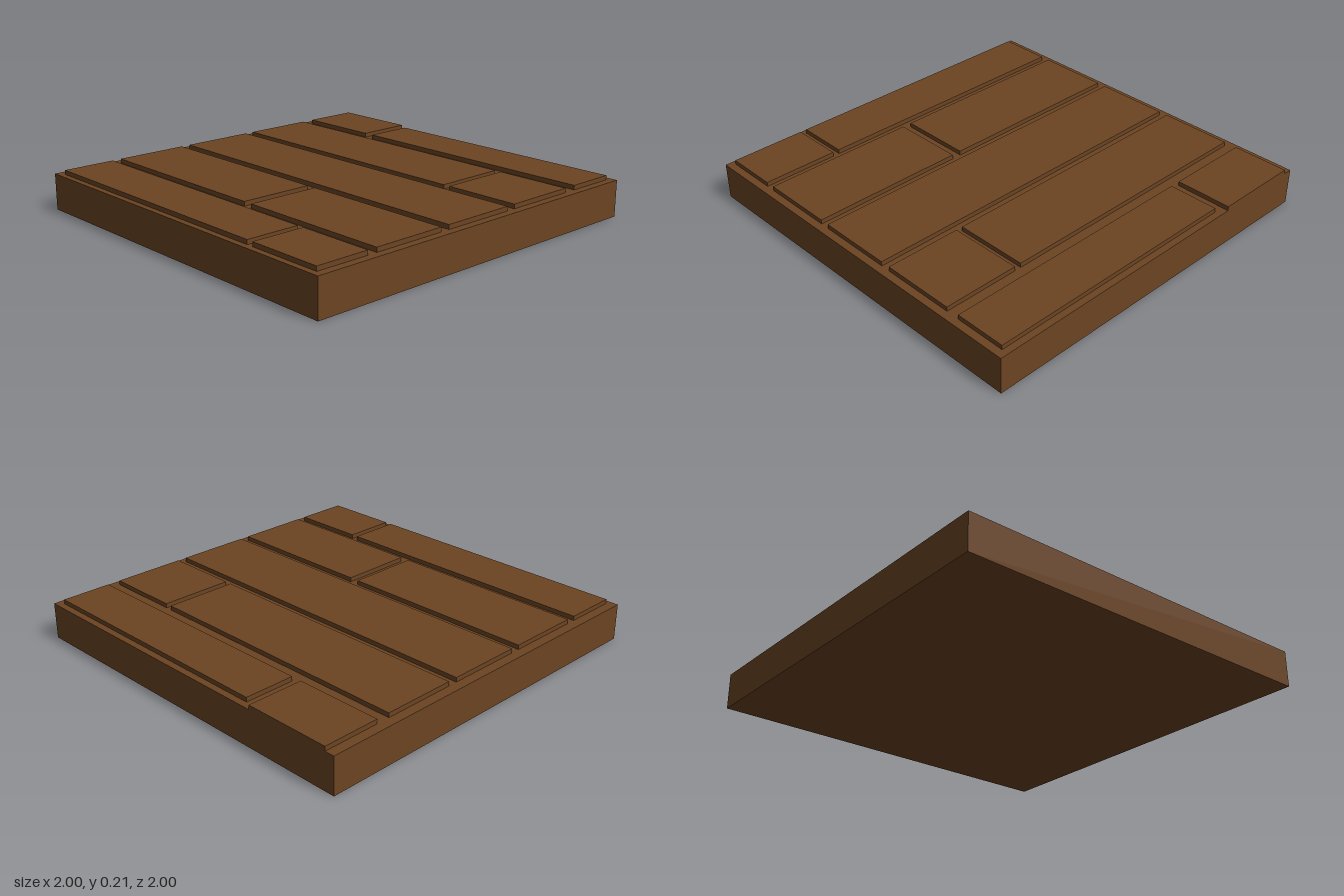
import * as THREE from 'three';

const SLAB_TOP = 0.19;
const PLANK_TOP = 0.213;

// Box given by its x, y and z limits
function block(name, [x0, x1], [y0, y1], [z0, z1], material) {
  const mesh = new THREE.Mesh(new THREE.BoxGeometry(x1 - x0, y1 - y0, z1 - z0), material);
  mesh.position.set((x0 + x1) / 2, (y0 + y1) / 2, (z0 + z1) / 2);
  mesh.name = name;
  return mesh;
}

export function createModel() {
  const model = new THREE.Group();
  model.name = 'woodenFloorTile';

  const wood = new THREE.MeshStandardMaterial({ color: 0x6b4423 });
  wood.name = 'brownWood';

  // Solid base slab
  model.add(block('baseSlab', [-1, 1], [0, SLAB_TOP], [-1, 1], wood));

  // Raised planks: x limits, z limits
  const planks = [
    [[-0.97, -0.69], [-0.95, 0.525]],
    [[-0.97, -0.69], [0.56, 0.96]],
    [[-0.64, -0.25], [-0.95, 0.09]],
    [[-0.64, -0.25], [0.14, 0.96]],
    [[-0.2, 0.195], [-0.95, 0.96]],
    [[0.245, 0.63], [-0.95, 0.525]],
    [[0.245, 0.63], [0.56, 0.96]],
    [[0.7, 1], [-0.95, -0.49]],
    [[0.7, 0.965], [-0.435, 0.96]],
  ];
  const floor = new THREE.Group();
  floor.name = 'planks';
  planks.forEach(([x, z], i) => {
    floor.add(block(`plank${i + 1}`, x, [SLAB_TOP, PLANK_TOP], z, wood));
  });
  model.add(floor);

  return model;
}
